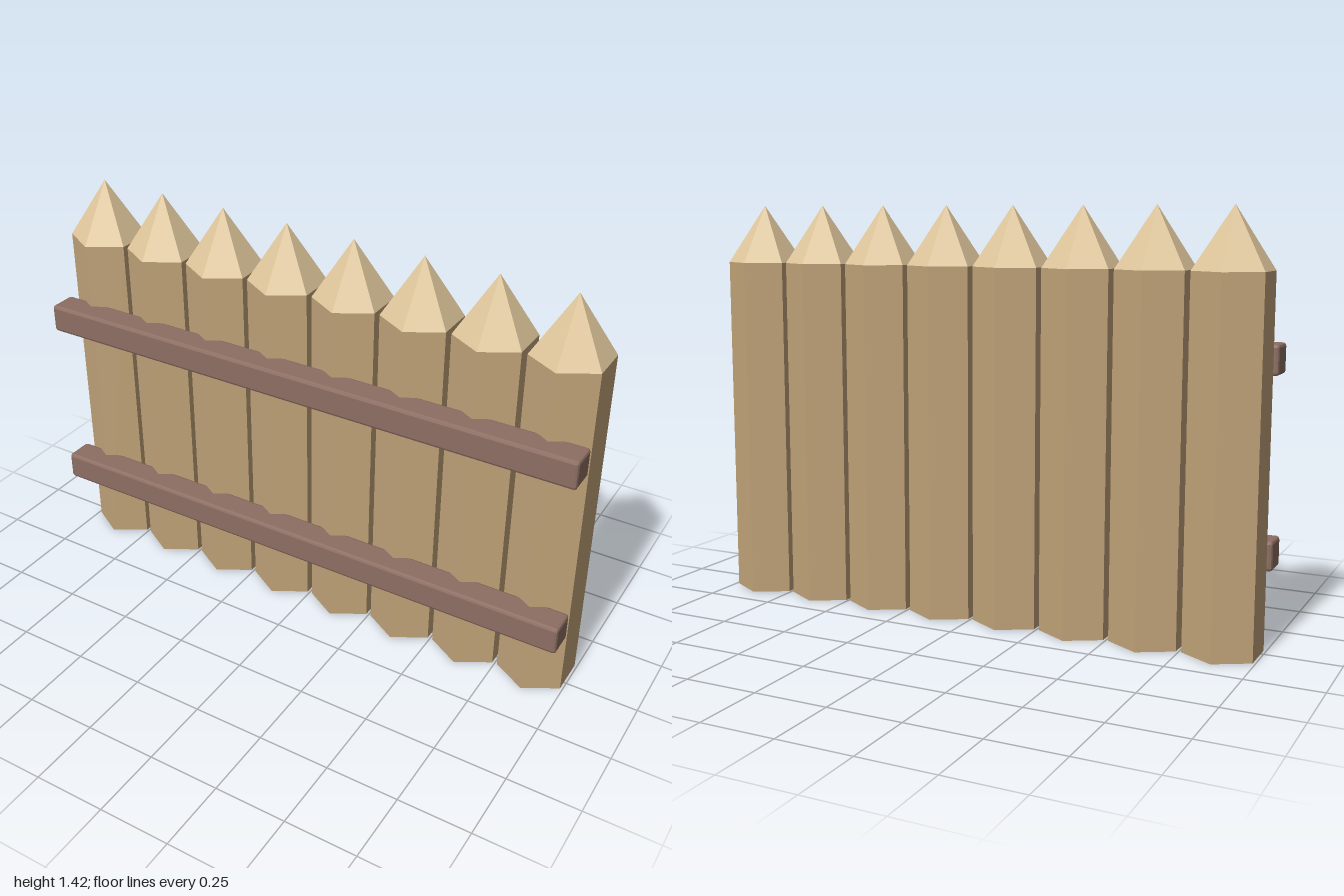
import * as THREE from 'three';
import { RoundedBoxGeometry } from 'three/addons/geometries/RoundedBoxGeometry.js';

const material = (color) => new THREE.MeshStandardMaterial({ color, flatShading: true });

export function createModel() {
  const model = new THREE.Group();
  model.name = 'palisadeFence';

  const add = (parent, name, geometry, mat, x, y, z) => {
    const mesh = new THREE.Mesh(geometry, mat);
    mesh.name = name;
    mesh.position.set(x, y, z);
    parent.add(mesh);
  };

  const wood = material(0xc4a57b);
  const cutWood = material(0xe0c79c);
  const darkWood = material(0x8d6e63);

  // Hexagonal stakes with pointed tips
  const count = 8, spacing = 0.25, radius = 0.134;
  const postHeight = 1.217, tipHeight = 0.203;
  const postGeometry = new THREE.CylinderGeometry(radius, radius, postHeight, 6);
  const tipGeometry = new THREE.ConeGeometry(radius, tipHeight, 6, 1, true);
  for (let i = 0; i < count; i++) {
    const stake = new THREE.Group();
    stake.name = `stake${i + 1}`;
    stake.position.set((i - (count - 1) / 2) * spacing, 0, -0.033);
    add(stake, 'post', postGeometry, wood, 0, postHeight / 2, 0);
    add(stake, 'tip', tipGeometry, cutWood, 0, postHeight + tipHeight / 2, 0);
    model.add(stake);
  }

  // Chamfered rails across the front
  const railGeometry = new RoundedBoxGeometry(2, 0.1, 0.1, 1, 0.01);
  add(model, 'lowerRail', railGeometry, darkWood, 0, 0.302, 0.117);
  add(model, 'upperRail', railGeometry, darkWood, 0, 0.935, 0.117);

  return model;
}
